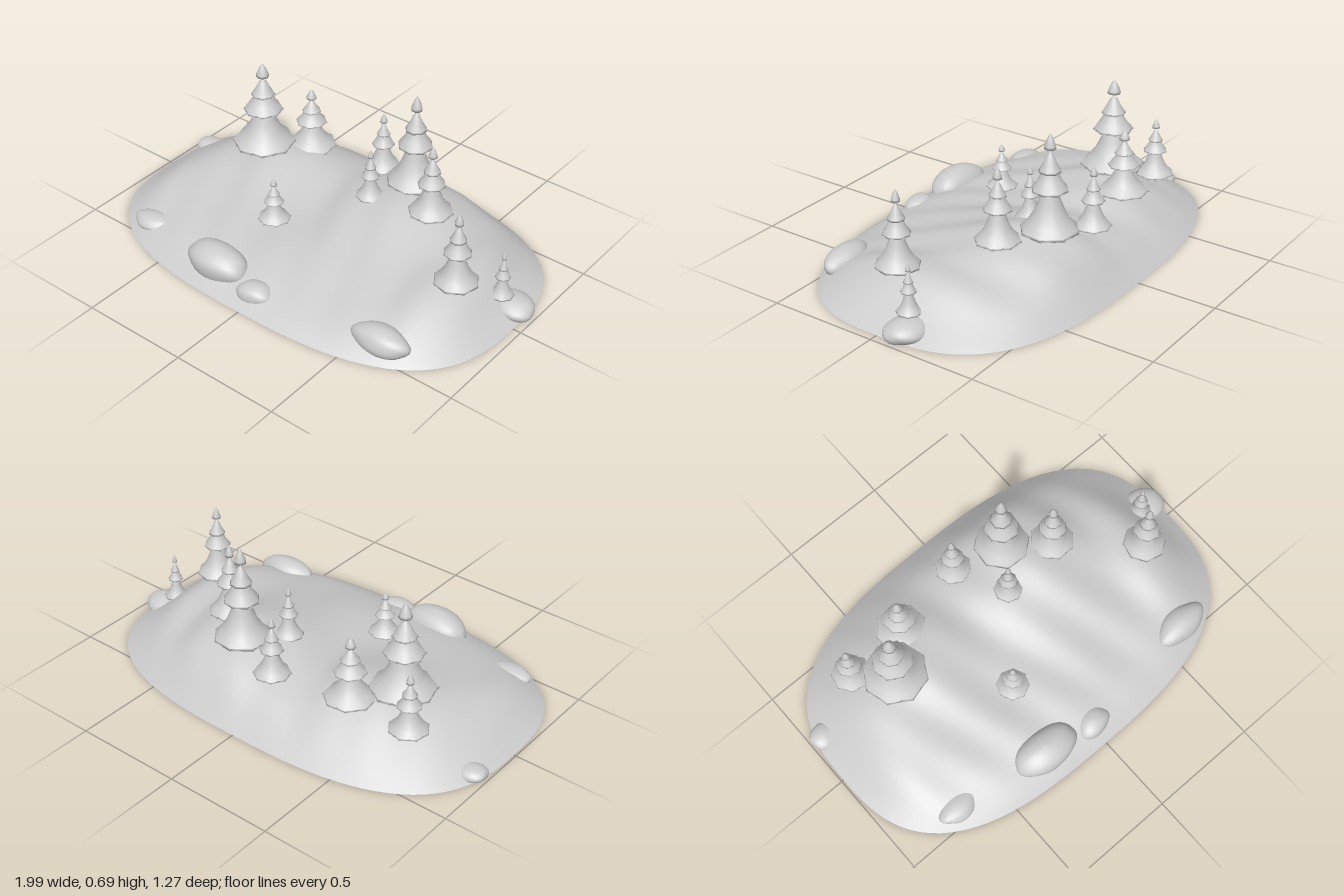
import * as THREE from 'three';

// Double-sided because the hill is an open shell
const stone = new THREE.MeshStandardMaterial({ color: 0xcccccc, side: THREE.DoubleSide });
stone.name = 'plain grey';

// Hill footprint: a superellipse
const CX = -0.014, HX = 0.976, HZ = 0.633, POWER = 2.8;

// Soft mounds and hollows: x, z, width in x, width in z, height
const mounds = [
  [0.28, -0.27, 0.26, 0.26, 0.13],
  [0.30, -0.50, 0.35, 0.08, 0.04],
  [-0.45, -0.22, 0.20, 0.22, 0.108],
  [0.74, 0.06, 0.13, 0.28, 0.115],
  [-0.82, 0.05, 0.13, 0.30, 0.085],
  [-0.14, -0.05, 0.10, 0.25, -0.02],
  [0.56, -0.05, 0.07, 0.30, -0.02],
  [0.30, 0.45, 0.16, 0.14, -0.02],
];

function hillHeight(x, z) {
  const s = Math.pow(Math.abs((x - CX) / HX) ** POWER + Math.abs(z / HZ) ** POWER, 1 / POWER);
  let h = 0.133 + 0.005 * Math.sin(26 * x - 9 * z);
  for (const [mx, mz, wx, wz, a] of mounds) {
    h += a * Math.exp(-(((x - mx) / wx) ** 2 + ((z - mz) / wz) ** 2) / 2);
  }
  return Math.max(0, 1 - s ** 3.7) * h;
}

// Open shell of rings from the centre to the footprint edge
function makeHill() {
  const rings = 44, sides = 112, pos = [CX, hillHeight(CX, 0), 0], index = [];
  for (let r = 1; r <= rings; r++) {
    for (let i = 0; i < sides; i++) {
      const a = (i / sides) * Math.PI * 2, c = Math.cos(a), s = Math.sin(a);
      const k = (r / rings) / Math.pow(Math.abs(c) ** POWER + Math.abs(s) ** POWER, 1 / POWER);
      const x = CX + HX * k * c, z = HZ * k * s;
      pos.push(x, r === rings ? 0 : hillHeight(x, z), z);
    }
  }
  const at = (r, i) => 1 + (r - 1) * sides + (i % sides);
  for (let i = 0; i < sides; i++) {
    index.push(0, at(1, i + 1), at(1, i));
    for (let r = 1; r < rings; r++) {
      const a = at(r, i), b = at(r, i + 1), c = at(r + 1, i), d = at(r + 1, i + 1);
      index.push(a, b, c, b, d, c);
    }
  }
  const g = new THREE.BufferGeometry();
  g.setAttribute('position', new THREE.Float32BufferAttribute(pos, 3));
  g.setIndex(index);
  g.computeVertexNormals();
  const hill = new THREE.Mesh(g, stone);
  hill.name = 'hill';
  return hill;
}

// Unit tree tiers, as radius and height pairs from the underside up
const tiers = {
  lowerBranches: [[0, 0.05], [1, 0], [0.96, 0.025], [0.74, 0.09], [0.54, 0.18], [0.38, 0.3], [0.24, 0.46]],
  middleBranches: [[0, 0.46], [0.62, 0.42], [0.59, 0.44], [0.42, 0.51], [0.28, 0.59], [0.2, 0.67]],
  upperBranches: [[0, 0.64], [0.38, 0.61], [0.35, 0.63], [0.23, 0.69], [0.12, 0.77], [0, 0.81]],
  treeTip: [[0, 0.845], [0.2, 0.84], [0.19, 0.87], [0.11, 0.94], [0, 1]],
};

// Lathe whose rim is drawn out into eight boughs
function makeTier(profile, radius, height) {
  const g = new THREE.LatheGeometry(profile.map(([r, y]) => new THREE.Vector2(r * radius, y * height)), 16);
  const p = g.attributes.position, rows = profile.length;
  for (let i = 0; i < p.count; i++) {
    const onRim = i % rows === 1 || i % rows === 2;
    const notch = onRim && Math.floor(i / rows) % 2 ? 0.91 : 1;
    p.setX(i, p.getX(i) * notch);
    p.setZ(i, p.getZ(i) * notch);
  }
  return g;
}

function makeTree([x, z, radius, base, top]) {
  const tree = new THREE.Group();
  tree.name = 'firTree';
  for (const [name, profile] of Object.entries(tiers)) {
    const mesh = new THREE.Mesh(makeTier(profile, radius, top - base), stone);
    mesh.name = name;
    tree.add(mesh);
  }
  const trunk = new THREE.Mesh(new THREE.CylinderGeometry(radius * 0.1, radius * 0.11, 0.12, 8), stone);
  trunk.name = 'trunk';
  trunk.position.y = -0.005;
  tree.add(trunk);
  tree.position.set(x, base, z);
  tree.rotation.y = x * 9;
  return tree;
}

// Rounded boulder with a flat base and uneven sides
function makeRock([x, z, rx, rz, bottom, top, turn], i) {
  const g = new THREE.SphereGeometry(1, 28, 18);
  const p = g.attributes.position, v = new THREE.Vector3();
  for (let k = 0; k < p.count; k++) {
    v.fromBufferAttribute(p, k);
    const bump = 1 + 0.05 * Math.sin(3 * v.x + 2 * v.z + i * 2) + 0.04 * Math.sin(4 * v.z - 3 * v.y + i);
    const y = Math.max(v.y, -0.55);
    p.setXYZ(k, v.x * bump * rx, ((y + 0.55) / 1.55) * (top - bottom), v.z * bump * rz);
  }
  g.computeVertexNormals();
  const rock = new THREE.Mesh(g, stone);
  rock.name = 'rock';
  rock.position.set(x, bottom, z);
  rock.rotation.y = turn;
  return rock;
}

export function createModel() {
  const model = new THREE.Group();
  model.name = 'woodedHill';
  model.add(makeHill());

  // Trees: x, z, radius, base height, top height
  const trees = [
    [-0.675, -0.31, 0.09, 0.17, 0.44],
    [-0.537, -0.165, 0.15, 0.23, 0.645],
    [-0.38, -0.32, 0.118, 0.20, 0.495],
    [-0.017, -0.39, 0.085, 0.195, 0.475],
    [0.21, -0.32, 0.13, 0.25, 0.69],
    [0.098, -0.145, 0.068, 0.215, 0.455],
    [0.395, -0.188, 0.103, 0.24, 0.575],
    [0.72, 0.08, 0.10, 0.185, 0.53],
    [0.848, -0.078, 0.055, 0.08, 0.30],
    [-0.17, 0.195, 0.075, 0.165, 0.37],
  ];
  trees.forEach((t) => model.add(makeTree(t)));

  // Rocks: x, z, half width, half depth, bottom, top, turn
  const rocks = [
    [-0.24, 0.495, 0.16, 0.092, 0.02, 0.155, -0.05],
    [0.01, 0.53, 0.088, 0.066, 0.01, 0.092, 0.1],
    [0.615, 0.45, 0.13, 0.075, 0.02, 0.12, 0.1],
    [-0.685, 0.425, 0.102, 0.065, 0.02, 0.08, 0.2],
    [-0.932, -0.215, 0.066, 0.058, 0, 0.048, 0],
    [0.895, -0.1, 0.1, 0.083, 0, 0.08, 0],
  ];
  rocks.forEach((r, i) => model.add(makeRock(r, i)));
  return model;
}
